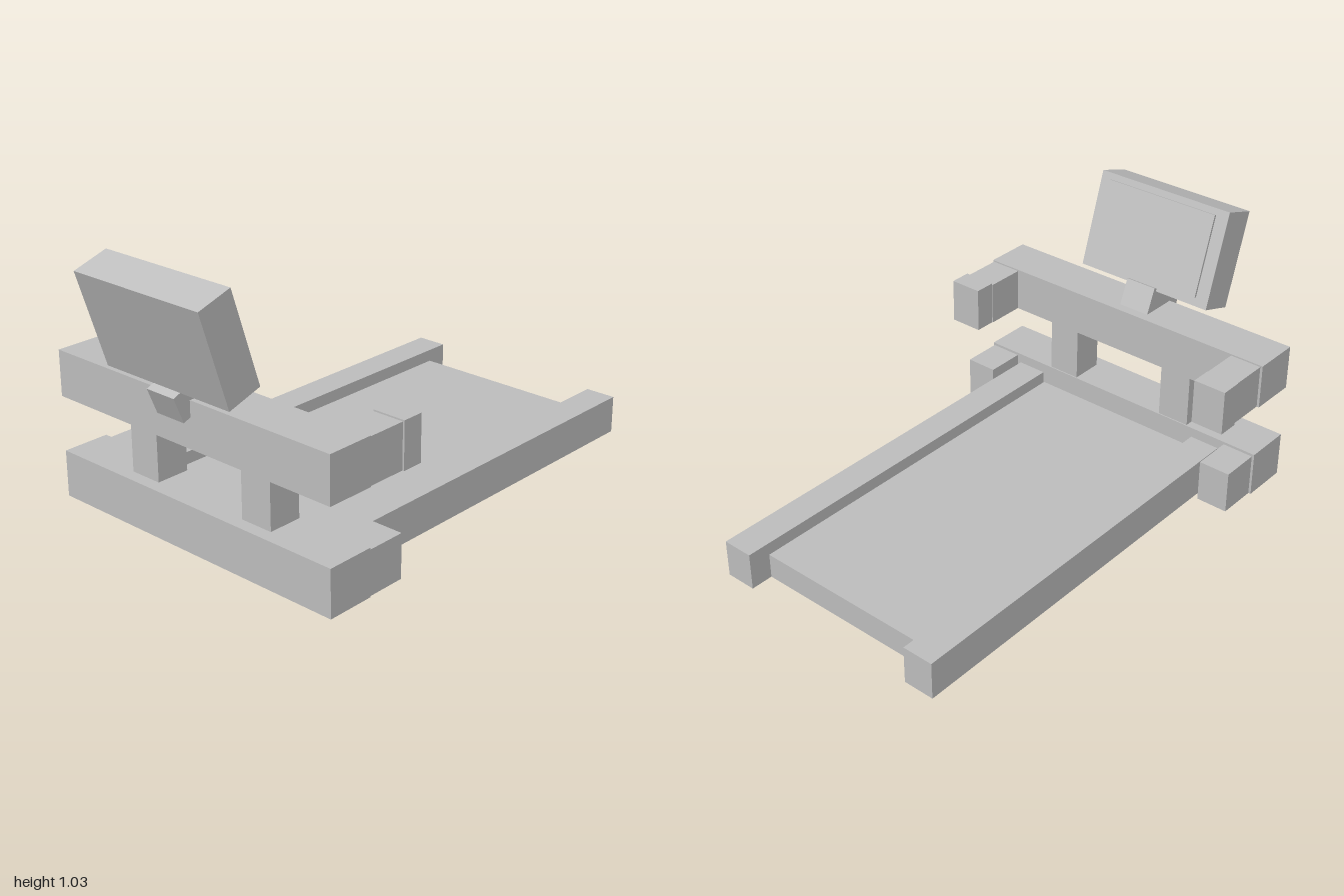
import * as THREE from 'three';

const grey = new THREE.MeshStandardMaterial({ color: 0xbfbfbf });
grey.name = 'plain grey';

// Box given by its x, y and z ranges
function block(parent, name, [x0, x1], [y0, y1], [z0, z1]) {
  const mesh = new THREE.Mesh(new THREE.BoxGeometry(x1 - x0, y1 - y0, z1 - z0), grey);
  mesh.position.set((x0 + x1) / 2, (y0 + y1) / 2, (z0 + z1) / 2);
  mesh.name = name;
  parent.add(mesh);
  return mesh;
}

export function createModel() {
  const model = new THREE.Group();
  model.name = 'treadmill';

  // Running deck between two raised side rails
  block(model, 'runningDeck', [-0.38, 0.375], [0, 0.1], [-0.91, 0.645]);
  block(model, 'rightRail', [-0.505, -0.38], [0, 0.15], [-1, 0.64]);
  block(model, 'leftRail', [0.375, 0.5], [0, 0.15], [-1, 0.64]);

  // Base and handlebar cross beams
  block(model, 'baseBeam', [-0.665, 0.66], [0, 0.183], [0.65, 0.84]);
  block(model, 'handleBeam', [-0.665, 0.66], [0.4, 0.58], [0.65, 0.84]);

  for (const [side, s] of [['left', 1], ['right', -1]]) {
    const span = (a, b) => (s > 0 ? [a, b] : [-b, -a]);
    // Uprights joining the beams
    block(model, side + 'Upright', span(0.21, 0.345), [0.183, 0.4], [0.655, 0.79]);
    // Short foot arms and two-part handle arms
    block(model, side + 'FootArm', span(0.525, 0.655), [0, 0.172], [0.49, 0.65]);
    block(model, side + 'HandleArm', span(0.525, 0.655), [0.4, 0.574], [0.49, 0.65]);
    block(model, side + 'HandleGrip', span(0.528, 0.662), [0.4, 0.58], [0.405, 0.49]);
  }

  // Tilted neck under the console
  const neck = block(model, 'consoleNeck', [-0.105, 0.027], [0.539, 0.647], [0.7025, 0.8975]);
  neck.rotation.x = 0.39;

  // Tilted console with a thin display facing the runner
  const tilted = new THREE.Group();
  tilted.name = 'console';
  tilted.position.set(-0.04, 0.825, 0.87);
  tilted.rotation.x = 0.312;
  block(tilted, 'consoleHousing', [-0.3, 0.3], [-0.194, 0.194], [-0.0735, 0.0735]);
  block(tilted, 'display', [-0.245, 0.25], [-0.16, 0.168], [-0.0825, -0.0735]);
  model.add(tilted);

  return model;
}
